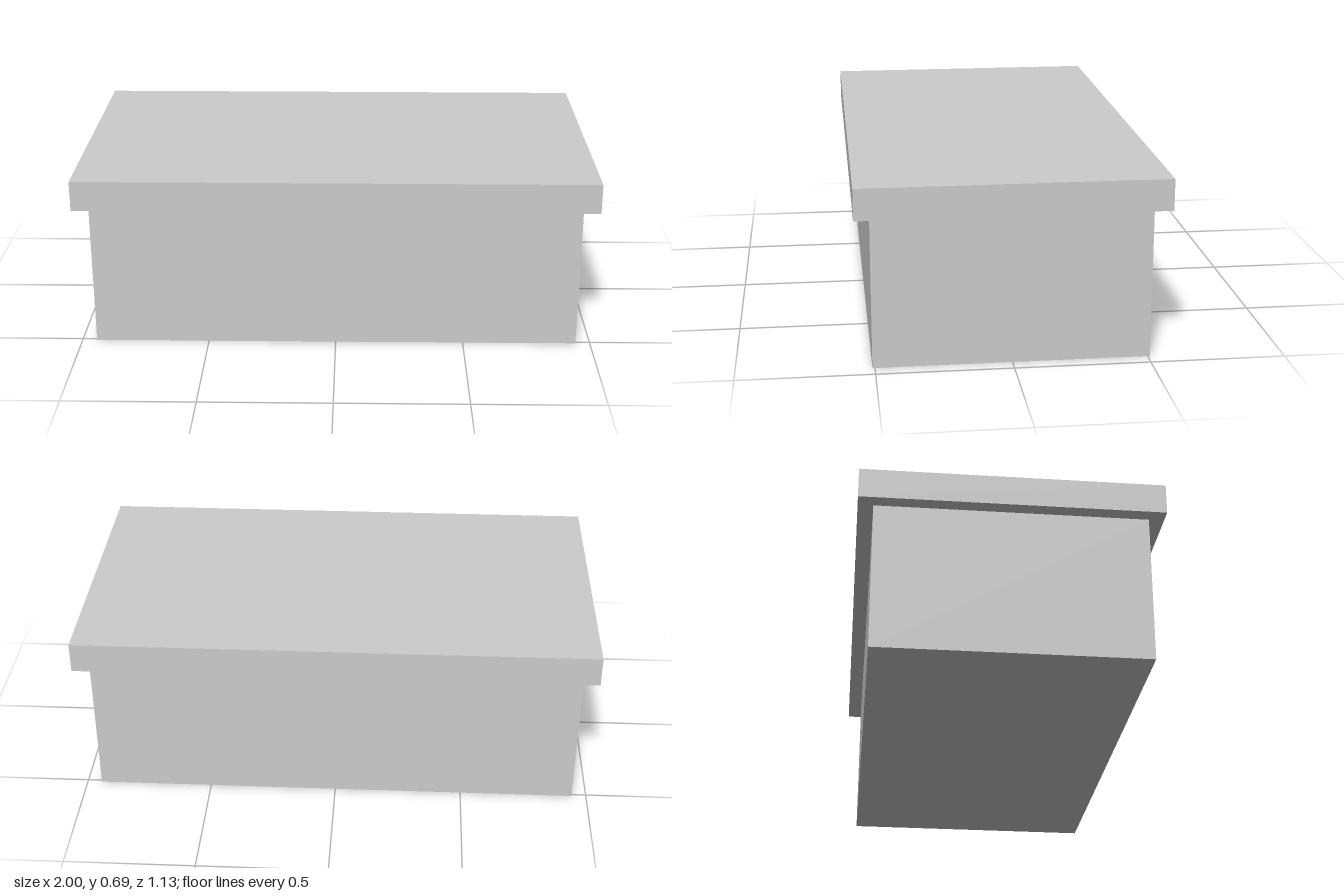
import * as THREE from 'three';

const material = new THREE.MeshStandardMaterial({ color: 0xcccccc, flatShading: true });

// Box standing on the given height
function block(name, width, height, depth, bottom) {
  const mesh = new THREE.Mesh(new THREE.BoxGeometry(width, height, depth), material);
  mesh.name = name;
  mesh.position.y = bottom + height / 2;
  return mesh;
}

export function createModel() {
  const baseHeight = 0.573;
  const lidHeight = 0.117;

  const model = new THREE.Group();
  model.name = 'liddedBox';
  model.add(
    block('base', 1.887, baseHeight, 1.018, 0),
    // Lid overhangs the base evenly on all sides
    block('lid', 2, lidHeight, 1.132, baseHeight),
  );
  return model;
}
